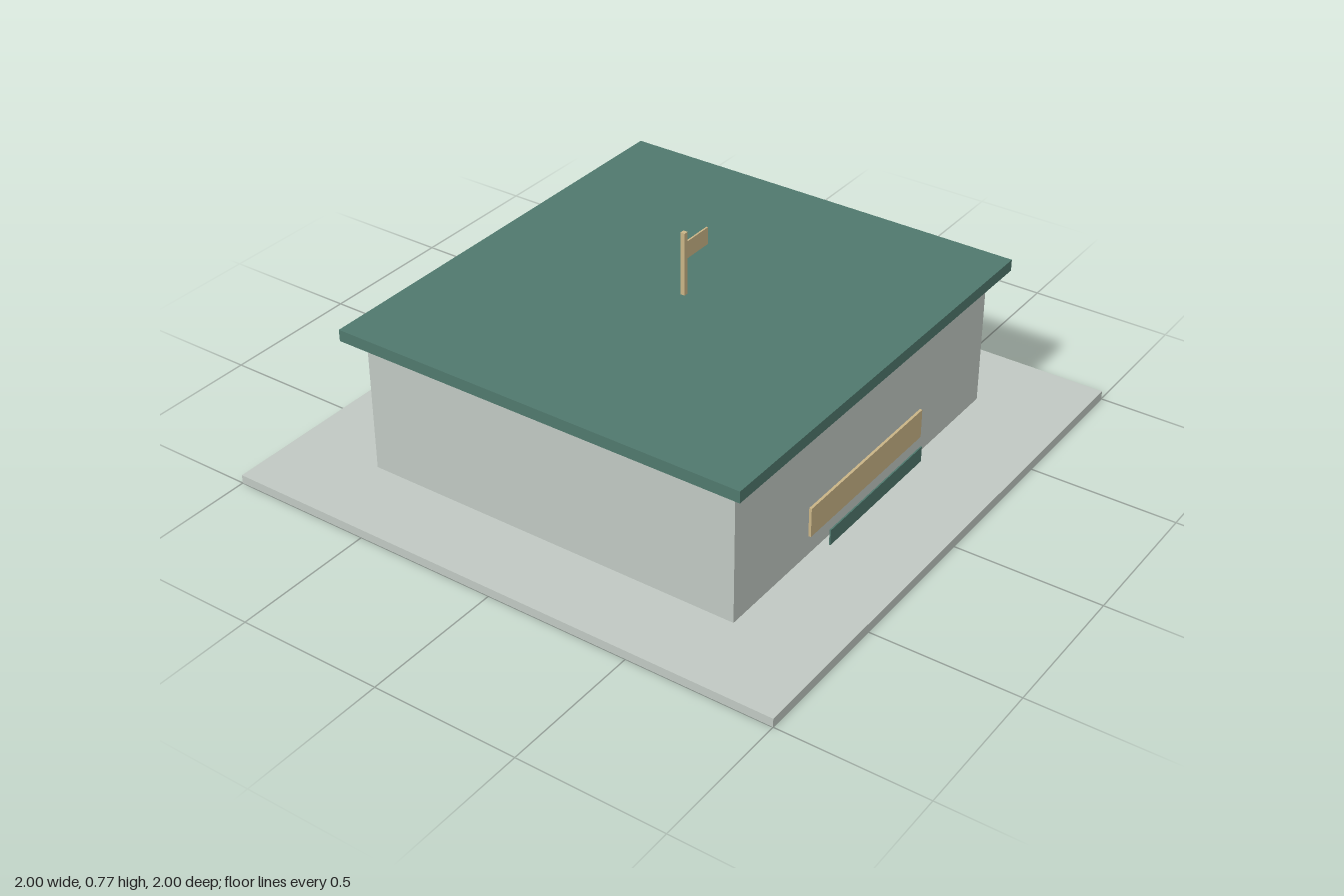
import * as THREE from 'three';

const material = (name, color) => {
  const m = new THREE.MeshStandardMaterial({ color });
  m.name = name;
  return m;
};

export function createModel() {
  const stone = material('paleStone', 0xc0c8c2);
  const green = material('roofGreen', 0x4f786d);
  const tan = material('tan', 0xc9b486);
  const model = new THREE.Group();
  model.name = 'pavilion';

  // Box given by its lower and upper limits on each axis
  const box = (name, mat, [x0, x1], [y0, y1], [z0, z1]) => {
    const mesh = new THREE.Mesh(new THREE.BoxGeometry(x1 - x0, y1 - y0, z1 - z0), mat);
    mesh.position.set((x0 + x1) / 2, (y0 + y1) / 2, (z0 + z1) / 2);
    mesh.name = name;
    model.add(mesh);
    return mesh;
  };

  // Ground slab, building and overhanging flat roof
  box('baseSlab', stone, [-1, 1], [0, 0.03], [-1, 1]);
  box('walls', stone, [-0.72, 0.72], [0.03, 0.51], [-0.68, 0.68]);
  box('roof', green, [-0.78, 0.78], [0.51, 0.55], [-0.735, 0.735]);

  // Front panel and the narrow board standing before it
  box('frontPanel', tan, [-0.325, 0.325], [0.1, 0.203], [0.681, 0.69]);
  box('frontBoard', green, [-0.27, 0.27], [0.052, 0.107], [0.721, 0.726]);

  // Small plates under the eaves
  box('frontEavePlate', green, [-0.015, 0.015], [0.488, 0.51], [0.679, 0.684]);
  for (const side of [-1, 1]) {
    const x = side * 0.7215;
    box('sideEavePlate', green, [x - 0.0025, x + 0.0025], [0.488, 0.51], [-0.015, 0.015]);
  }

  // Flagpole and flag
  box('flagpole', tan, [-0.008, 0.008], [0.55, 0.77], [-0.008, 0.008]);
  box('flag', tan, [0.008, 0.125], [0.672, 0.732], [-0.003, 0.003]);

  return model;
}
